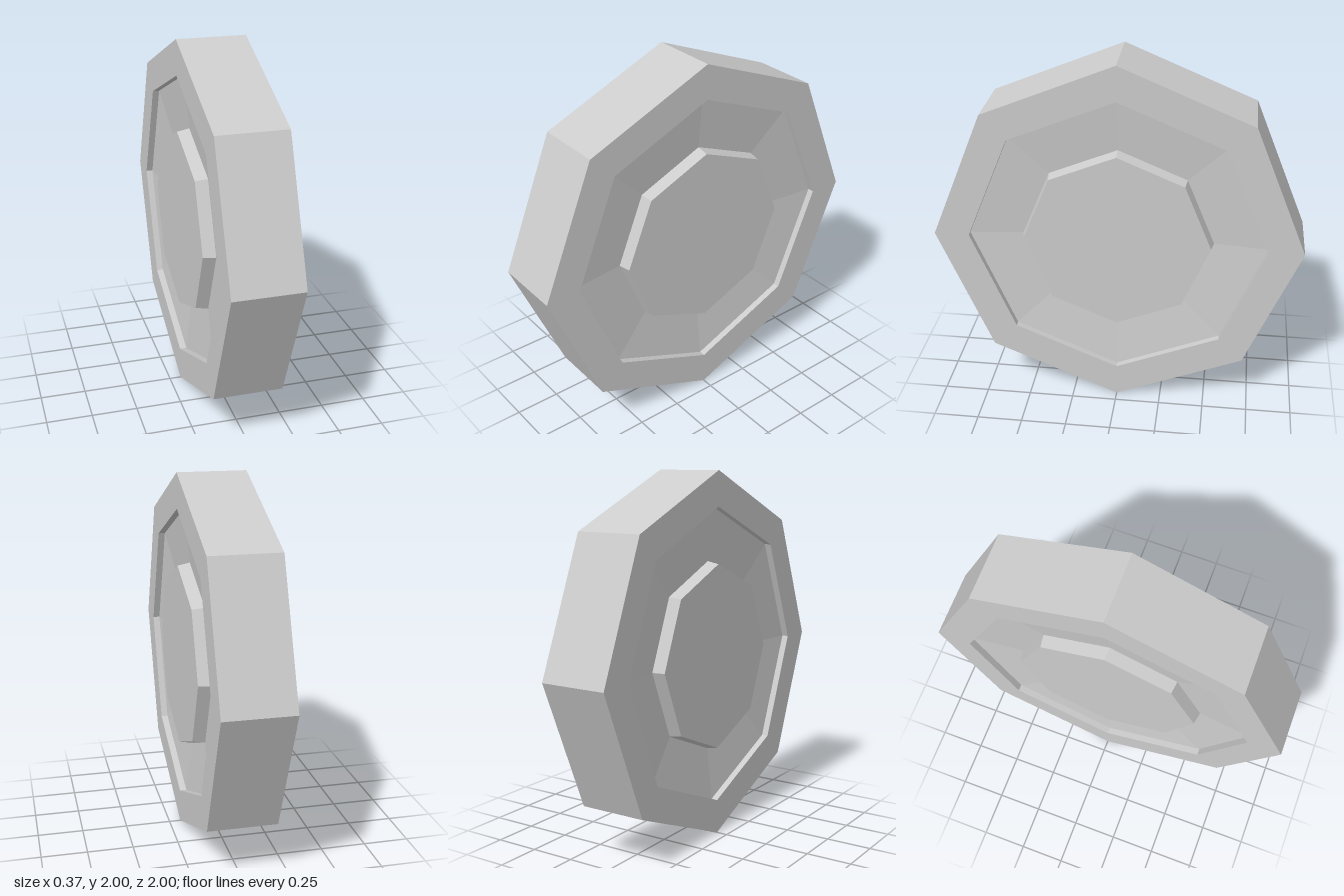
import * as THREE from 'three';

const SIDES = 8;
const HALF = 0.187; // half the wheel width
const material = new THREE.MeshStandardMaterial({ color: 0xcccccc, flatShading: true });

// Turn a profile of [radius, axial x] points around the x axis
function turned(name, profile) {
  const points = profile.map(([r, x]) => new THREE.Vector2(r, x));
  const geometry = new THREE.LatheGeometry(points, SIDES);
  geometry.rotateZ(-Math.PI / 2);
  const mesh = new THREE.Mesh(geometry, material);
  mesh.name = name;
  return mesh;
}

export function createModel() {
  const wheel = new THREE.Group();
  wheel.name = 'wheel';

  // Tyre: tread, flat side walls and the short inner lips
  wheel.add(turned('tyre', [
    [0.81, -0.15], [0.81, -HALF], [1, -HALF],
    [1, HALF], [0.81, HALF], [0.81, 0.15],
  ]));

  // Sloping dish and raised hub, the same on both sides
  const dish = [[0.81, 0.15], [0.52, 0.12]];
  const hub = [[0.52, 0.12], [0.507, HALF], [0, HALF]];
  const mirrored = (profile) => profile.map(([r, x]) => [r, -x]).reverse();
  wheel.add(
    turned('leftDish', dish), turned('leftHub', hub),
    turned('rightDish', mirrored(dish)), turned('rightHub', mirrored(hub)),
  );

  wheel.position.y = 1;
  const model = new THREE.Group();
  model.add(wheel);
  return model;
}
